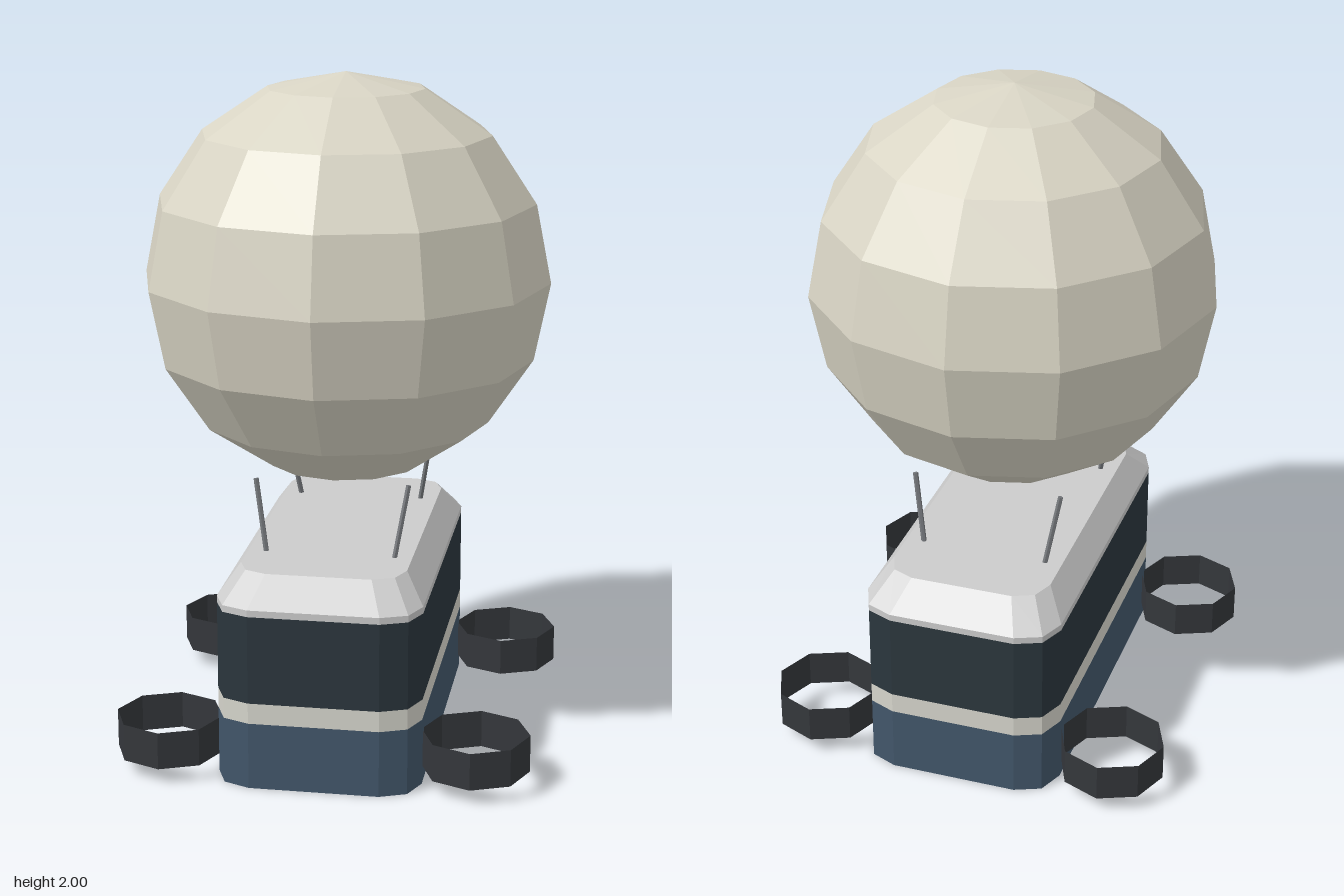
import * as THREE from 'three';

const material = (color, side = THREE.FrontSide) =>
  new THREE.MeshStandardMaterial({ color, side, flatShading: true });

// Rounded rectangle in plan, two facets per corner
function hullShape(halfW = 0.3, halfL = 0.585, r = 0.11) {
  const points = [];
  [[1, 1], [-1, 1], [-1, -1], [1, -1]].forEach(([sx, sy], corner) => {
    for (let i = 0; i <= 2; i++) {
      const a = (corner + i / 2) * Math.PI / 2;
      points.push(new THREE.Vector2(
        sx * (halfW - r) + r * Math.cos(a),
        sy * (halfL - r) + r * Math.sin(a)));
    }
  });
  return new THREE.Shape(points);
}

// Slab of the hull from y0 to y1, optionally narrowing towards its top
function hullLayer(name, y0, y1, color, topX = 1, topZ = 1) {
  const geo = new THREE.ExtrudeGeometry(hullShape(), { depth: y1 - y0, bevelEnabled: false });
  geo.rotateX(-Math.PI / 2).translate(0, y0, 0);
  const p = geo.attributes.position;
  for (let i = 0; i < p.count; i++) {
    if (p.getY(i) > (y0 + y1) / 2) p.setXYZ(i, p.getX(i) * topX, p.getY(i), p.getZ(i) * topZ);
  }
  geo.computeVertexNormals();
  const mesh = new THREE.Mesh(geo, material(color));
  mesh.name = name;
  return mesh;
}

function strut(from, to, mat) {
  const dir = to.clone().sub(from);
  const mesh = new THREE.Mesh(new THREE.CylinderGeometry(0.008, 0.008, dir.length(), 6), mat);
  mesh.position.copy(from).add(to).multiplyScalar(0.5);
  mesh.quaternion.setFromUnitVectors(new THREE.Vector3(0, 1, 0), dir.normalize());
  mesh.name = 'strut';
  return mesh;
}

export function createModel() {
  const model = new THREE.Group();
  model.name = 'airship';

  // Balloon
  const balloon = new THREE.Mesh(new THREE.SphereGeometry(0.607, 12, 8), material(0xd8d4c4));
  balloon.position.y = 1.393;
  balloon.name = 'balloon';
  model.add(balloon);

  // Cabin, in coloured layers
  const cabin = new THREE.Group();
  cabin.name = 'cabin';
  cabin.add(
    hullLayer('lowerHull', 0, 0.2, 0x42566a),
    hullLayer('stripe', 0.2, 0.262, 0xd6d5cc),
    hullLayer('windowBand', 0.262, 0.525, 0x2b363d),
    hullLayer('roofEdge', 0.525, 0.545, 0xdededa),
    hullLayer('roof', 0.545, 0.625, 0xdededa, 0.81, 0.845));
  model.add(cabin);

  // Struts and open rotor ducts, one of each per corner
  const strutMat = material(0x75787c);
  const ductMat = material(0x34373b, THREE.DoubleSide);
  const ductGeo = new THREE.CylinderGeometry(0.158, 0.158, 0.112, 8, 1, true);
  for (const sx of [-1, 1]) {
    for (const sz of [-1, 1]) {
      model.add(strut(
        new THREE.Vector3(sx * 0.19, 0.62, sz * 0.29),
        new THREE.Vector3(sx * 0.226, 0.835, sz * 0.255), strutMat));
      const duct = new THREE.Mesh(ductGeo, ductMat);
      duct.position.set(sx * 0.453, 0.104, sz * 0.447);
      duct.name = 'rotorDuct';
      model.add(duct);
    }
  }
  return model;
}
